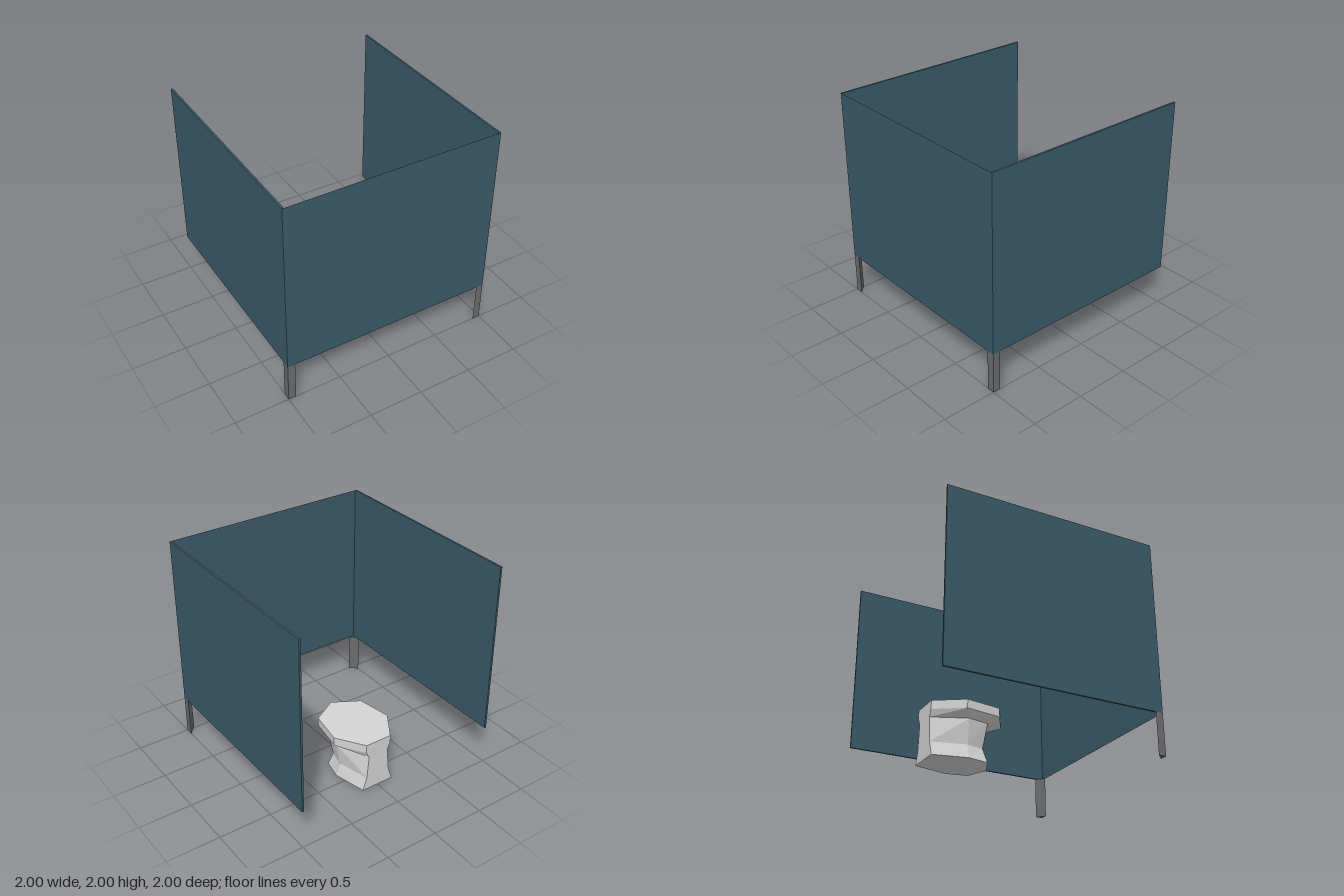
import * as THREE from 'three';

const teal = new THREE.MeshStandardMaterial({ color: 0x3a5a68, side: THREE.DoubleSide });
teal.name = 'teal panel';
const darkGrey = new THREE.MeshStandardMaterial({ color: 0x6b6b6b });
darkGrey.name = 'dark grey leg';
const lightGrey = new THREE.MeshStandardMaterial({ color: 0xd4d4d4 });
lightGrey.name = 'light grey stool';

function addMesh(parent, name, geometry, material) {
  const mesh = new THREE.Mesh(geometry, material);
  mesh.name = name;
  parent.add(mesh);
  return mesh;
}

// Right-triangular prism tucked into a front corner; s is the side (+1 or -1)
function cornerPrism(s, y0, height) {
  const shape = new THREE.Shape([
    new THREE.Vector2(s, -1),
    new THREE.Vector2(s * 0.93, -1),
    new THREE.Vector2(s, -0.93),
  ]);
  return new THREE.ExtrudeGeometry(shape, { depth: height, bevelEnabled: false })
    .rotateX(-Math.PI / 2)
    .translate(0, y0, 0);
}

// Faceted seven-sided solid from mirrored half rings: [y, [[x, z] front to back]]
function loftMirrored(levels) {
  const rings = levels.map(([y, half]) => [
    ...half.map(([x, z]) => [x, y, z]),
    ...half.slice(1).reverse().map(([x, z]) => [-x, y, z]),
  ]);
  const n = rings[0].length;
  const pos = [];
  const tri = (...points) => points.forEach((p) => pos.push(...p));
  for (let k = 0; k < rings.length - 1; k++) {
    for (let i = 0; i < n; i++) {
      const j = (i + 1) % n;
      const [a, b, c, d] = [rings[k][i], rings[k][j], rings[k + 1][j], rings[k + 1][i]];
      if (i < n / 2) { tri(a, b, d); tri(b, c, d); } // mirrored diagonals
      else { tri(a, b, c); tri(a, c, d); }
    }
  }
  const bottom = rings[0], top = rings[rings.length - 1];
  for (let i = 1; i < n - 1; i++) {
    tri(top[0], top[i], top[i + 1]);
    tri(bottom[0], bottom[i + 1], bottom[i]);
  }
  const geometry = new THREE.BufferGeometry();
  geometry.setAttribute('position', new THREE.Float32BufferAttribute(pos, 3));
  geometry.computeVertexNormals();
  return geometry;
}

export function createModel() {
  const model = new THREE.Group();
  model.name = 'privacyBooth';

  // Single-sheet front panel
  addMesh(model, 'frontPanel', new THREE.PlaneGeometry(2, 1.62), teal).position.set(0, 1.19, 1);

  // Side panels with corner legs
  for (const [s, side] of [[1, 'left'], [-1, 'right']]) {
    addMesh(model, side + 'Panel', new THREE.BoxGeometry(0.018, 1.62, 2), teal)
      .position.set(s * 0.991, 1.19, 0);
    addMesh(model, side + 'Leg', cornerPrism(s, 0, 0.38), darkGrey);
    addMesh(model, side + 'LegCap', cornerPrism(s, 0.38, 0.003), teal);
  }

  // Stool: flared foot, waist, neck, then overhanging seat
  const seat = [[0, 0.015], [0.24, -0.125], [0.295, -0.45], [0.13, -0.705]];
  addMesh(model, 'stool', loftMirrored([
    [0, [[0, -0.125], [0.19, -0.21], [0.23, -0.4], [0.16, -0.705]]],
    [0.125, [[0, -0.165], [0.155, -0.24], [0.195, -0.4], [0.12, -0.705]]],
    [0.345, [[0, -0.125], [0.19, -0.21], [0.23, -0.4], [0.1, -0.705]]],
    [0.405, seat],
    [0.483, seat],
  ]), lightGrey);

  return model;
}
